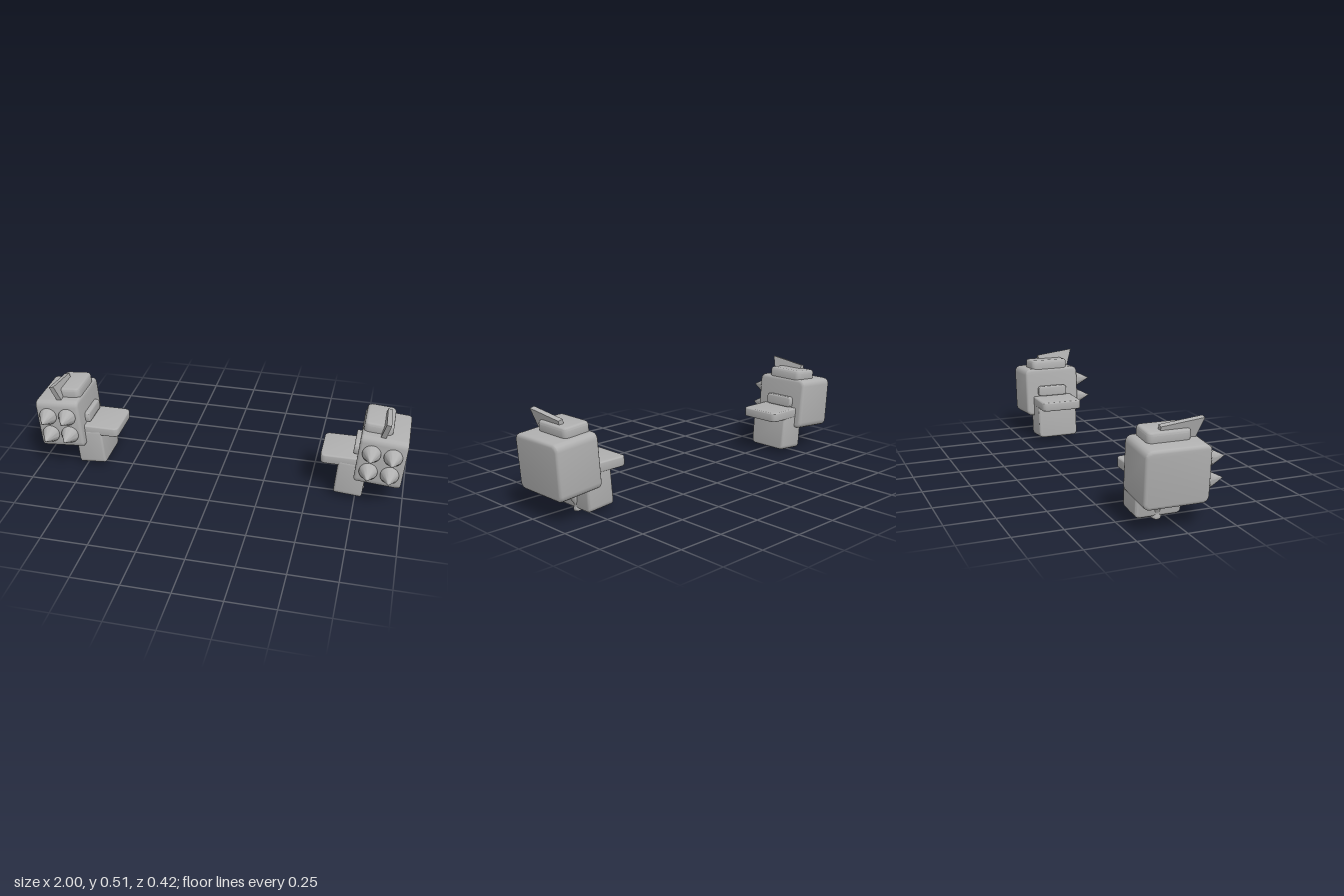
import * as THREE from 'three';
import { toCreasedNormals } from 'three/addons/utils/BufferGeometryUtils.js';

const TILT = 0.08; // outward lean of the pods

// Block with rounded corners seen along `axis` and bevelled edges around both caps
function block(w, h, d, axis, radius, bevel) {
  const [a, b, depth] = axis === 'x' ? [d, h, w] : [w, d, h];
  const x = a / 2 - bevel, y = b / 2 - bevel, r = radius - bevel;
  const s = new THREE.Shape();
  s.moveTo(-x + r, -y);
  s.lineTo(x - r, -y);
  s.quadraticCurveTo(x, -y, x, -y + r);
  s.lineTo(x, y - r);
  s.quadraticCurveTo(x, y, x - r, y);
  s.lineTo(-x + r, y);
  s.quadraticCurveTo(-x, y, -x, y - r);
  s.lineTo(-x, -y + r);
  s.quadraticCurveTo(-x, -y, -x + r, -y);
  const g = new THREE.ExtrudeGeometry(s, {
    depth: depth - 2 * bevel, bevelSize: bevel, bevelThickness: bevel,
    bevelSegments: 3, curveSegments: 4,
  });
  g.translate(0, 0, bevel - depth / 2);
  if (axis === 'x') g.rotateY(Math.PI / 2);
  else g.rotateX(-Math.PI / 2);
  return toCreasedNormals(g, 0.6);
}

function lathe(points, segments = 32) {
  const g = new THREE.LatheGeometry(points.map(([r, y]) => new THREE.Vector2(r, y)), segments);
  return toCreasedNormals(g, 0.6);
}

function finGeometry(thickness) {
  const s = new THREE.Shape([[0.085, -0.012], [0.12, 0.088], [-0.095, 0.063], [-0.095, 0.035]]
    .map(([z, y]) => new THREE.Vector2(z, y)));
  const g = new THREE.ExtrudeGeometry(s, { depth: thickness, bevelEnabled: false });
  g.translate(0, 0, -thickness / 2);
  return g.rotateY(-Math.PI / 2);
}

export function createModel() {
  const model = new THREE.Group();
  model.name = 'shoulderPods';
  const grey = new THREE.MeshStandardMaterial({ color: 0xb0b0b0 });
  grey.name = 'grey';

  const geo = {
    pod: block(0.245, 0.282, 0.326, 'x', 0.036, 0.016),
    lid: block(0.15, 0.075, 0.218, 'y', 0.028, 0.015),
    fin: finGeometry(0.026),
    shelf: block(0.23, 0.052, 0.236, 'y', 0.03, 0.008),
    mount: block(0.152, 0.215, 0.236, 'x', 0.026, 0.012),
    strip: block(0.05, 0.06, 0.175, 'x', 0.02, 0.008),
    spike: lathe([[0.044, -0.01], [0.048, 0.012], [0.047, 0.017], [0.042, 0.022],
      [0.028, 0.05], [0.014, 0.077], [0, 0.103]]),
    strut: lathe([[0, 0], [0.026, 0], [0.026, 0.005], [0.021, 0.014], [0.014, 0.024],
      [0.013, 0.032], [0.018, 0.06], [0.021, 0.085], [0.019, 0.112], [0.025, 0.122],
      [0.025, 0.145], [0, 0.145]]),
  };

  for (const side of [1, -1]) {
    const unit = new THREE.Group();
    unit.name = side > 0 ? 'leftUnit' : 'rightUnit';
    const add = (parent, name, geometry, x, y, z, lean = 0) => {
      const m = new THREE.Mesh(geometry, grey);
      m.name = name;
      m.position.set(x * side, y, z);
      m.rotation.z = -lean * side;
      parent.add(m);
      return m;
    };

    // Leaning pod with its lid and four front spikes
    const pod = new THREE.Group();
    pod.name = 'pod';
    pod.position.set(0.87 * side, 0.273, -0.0475);
    pod.rotation.z = -TILT * side;
    add(pod, 'podBody', geo.pod, 0, 0, 0);
    add(pod, 'podLid', geo.lid, -0.042, 0.152, -0.008);
    add(pod, 'innerStrip', geo.strip, -0.122, 0.005, -0.005);
    for (const x of [-0.055, 0.055]) {
      for (const y of [-0.054, 0.054]) {
        add(pod, 'spike', geo.spike, x, y, 0.157).rotation.x = Math.PI / 2;
      }
    }
    unit.add(pod);

    // Raked fin on the lid
    add(unit, 'fin', geo.fin, 0.872, 0.421, 0, 0.24);

    // Inner shelf, the mount below it and the strut bracing the pod
    add(unit, 'shelf', geo.shelf, 0.67, 0.231, -0.05);
    add(unit, 'mount', geo.mount, 0.719, 0.127, -0.0485, TILT);
    add(unit, 'strut', geo.strut, 0.767, 0.011, -0.054, 0.42);
    model.add(unit);
  }
  return model;
}
